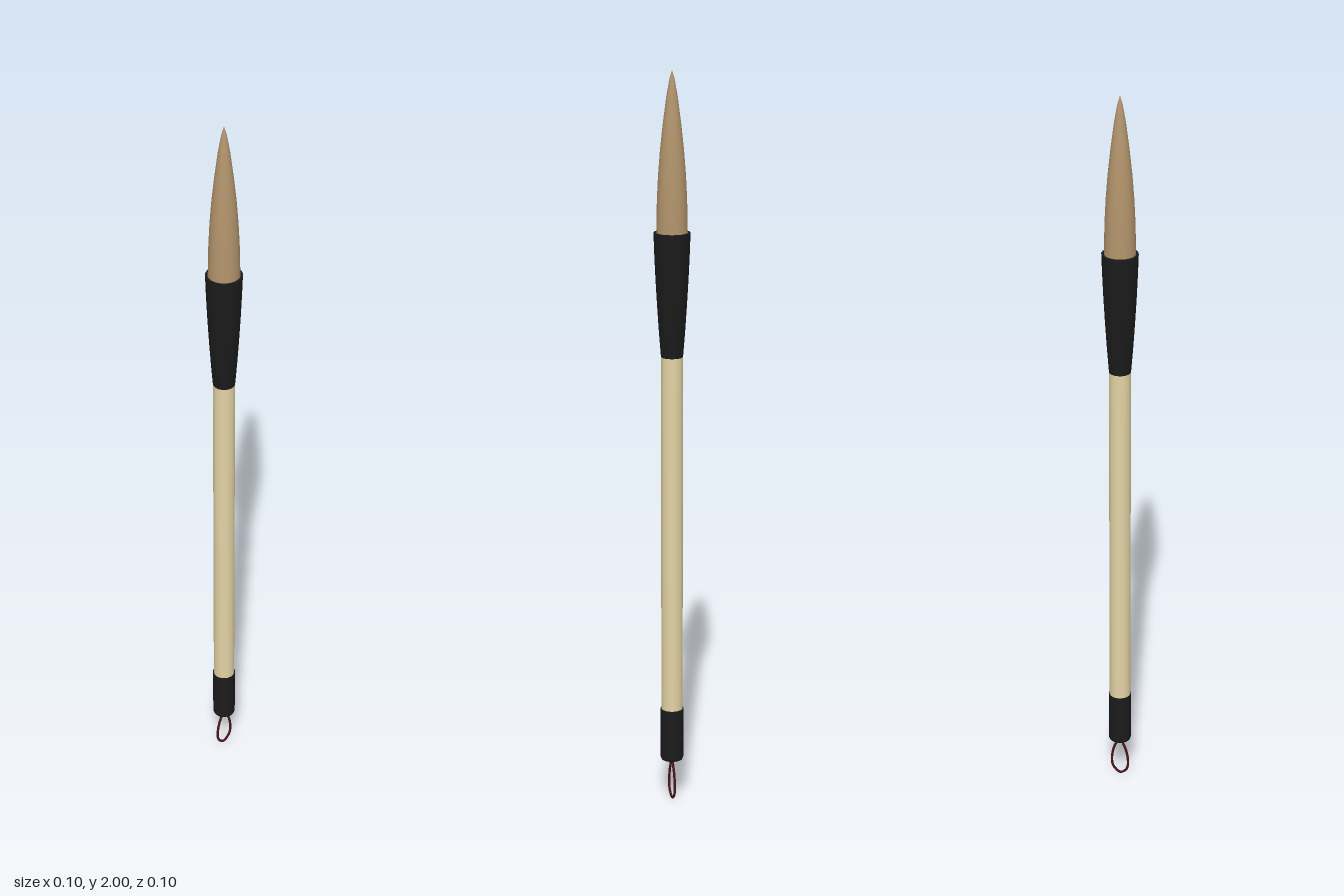
import * as THREE from 'three';

const SIDES = 20;

export function createModel() {
  const brush = new THREE.Group();
  brush.name = 'calligraphyBrush';

  const material = (color) => new THREE.MeshStandardMaterial({ color });
  const black = material(0x1b1b1b);
  const bamboo = material(0xe3d2a4);
  const hair = material(0xb2946c);
  const cord = material(0x4a1418);

  const add = (name, geometry, mat) => {
    const mesh = new THREE.Mesh(geometry, mat);
    mesh.name = name;
    brush.add(mesh);
    return mesh;
  };

  // Turned part from [radius, height] pairs listed bottom to top; a repeated pair keeps an edge sharp
  const turned = (profile, sides = SIDES) =>
    new THREE.LatheGeometry(profile.map(([r, y]) => new THREE.Vector2(r, y)), sides);

  // Straight handle
  const handle = add('handle', new THREE.CylinderGeometry(0.029, 0.029, 1.02, SIDES), bamboo);
  handle.position.y = 0.76;

  // End cap with a small bevel at the bottom
  add('endCap', turned([
    [0, 0.12], [0.029, 0.12], [0.029, 0.12], [0.031, 0.125], [0.031, 0.125],
    [0.031, 0.267], [0.031, 0.267], [0.028, 0.267],
  ]), black);

  // Flared ferrule between handle and bristles
  add('ferrule', turned([
    [0.027, 1.252], [0.029, 1.252], [0.029, 1.252], [0.034, 1.315], [0.039, 1.39],
    [0.043, 1.46], [0.046, 1.525], [0.048, 1.582], [0.048, 1.582],
    [0.042, 1.582], [0.042, 1.582], [0.041, 1.565], [0, 1.565],
  ]), black);

  // Bristle head drawn to a point
  add('bristles', turned([
    [0.041, 1.56], [0.0405, 1.61], [0.039, 1.67], [0.036, 1.73], [0.031, 1.795],
    [0.024, 1.86], [0.015, 1.93], [0.007, 1.975], [0, 2],
  ], 32), hair);

  // Teardrop hanging loop
  const half = [[0.006, 0.11], [0.018, 0.083], [0.0245, 0.05], [0.021, 0.02]];
  const points = [
    [0, 0.125], ...half, [0, 0.0035],
    ...half.slice().reverse().map(([x, y]) => [-x, y]), [0, 0.125],
  ].map(([x, y]) => new THREE.Vector3(x, y, 0));
  add('hangingLoop', new THREE.TubeGeometry(new THREE.CatmullRomCurve3(points), 48, 0.0035, 8), cord);

  return brush;
}
